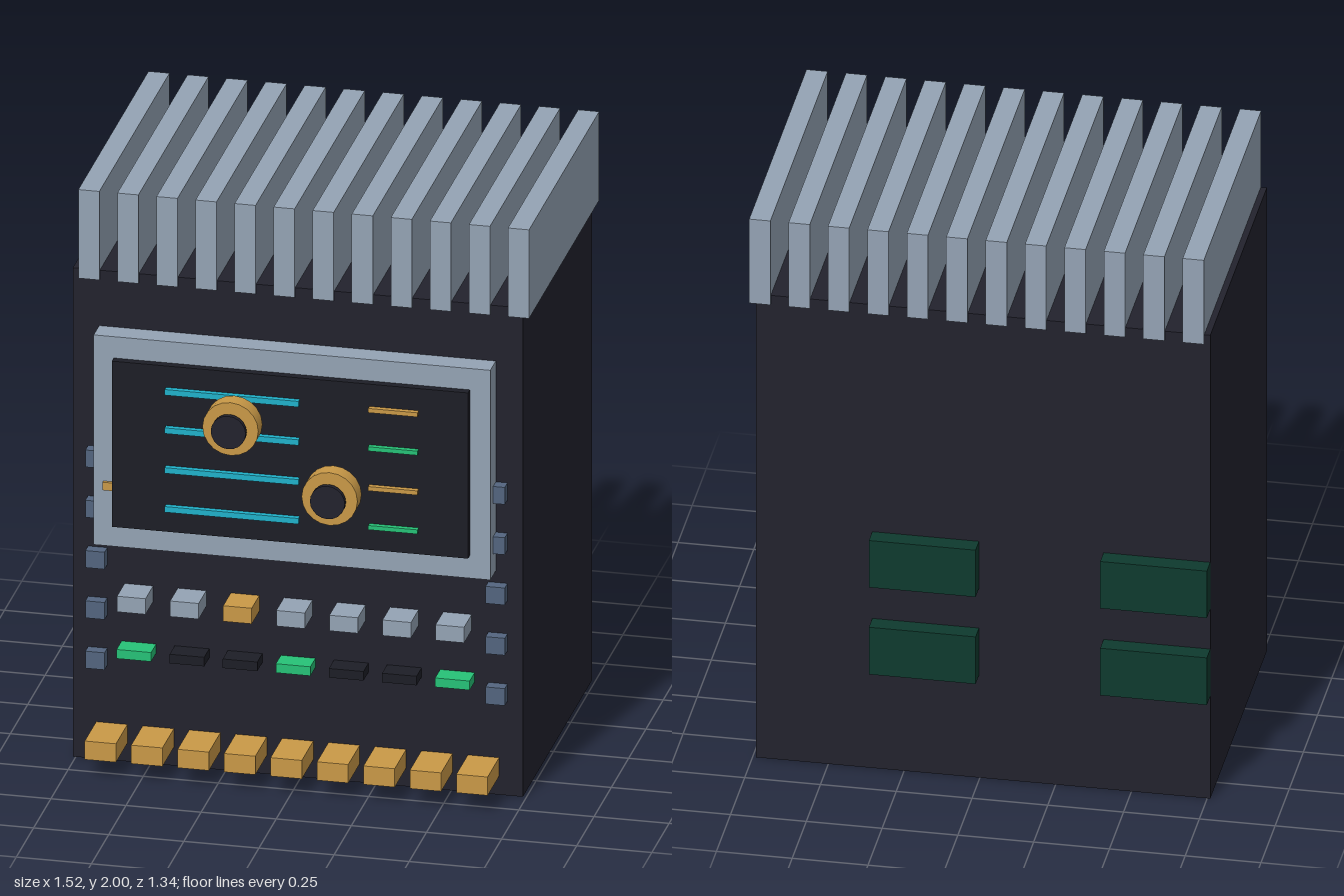
import * as THREE from 'three';

const mat = (name, color) => {
  const m = new THREE.MeshStandardMaterial({ color });
  m.name = name;
  return m;
};

export function createModel() {
  const model = new THREE.Group();
  model.name = 'controlUnit';

  const charcoal = mat('charcoal', 0x22222d);
  const black = mat('black', 0x1d1e26);
  const steel = mat('steel', 0x94a3b4);
  const slate = mat('slate', 0x53657f);
  const brass = mat('brass', 0xc99947);
  const cyan = mat('cyan', 0x20b2ca);
  const green = mat('green', 0x26c277);
  const darkGreen = mat('darkGreen', 0x0e3a2e);

  // Box given by its limits on each axis
  const box = (name, material, [x0, x1], [y0, y1], [z0, z1]) => {
    const mesh = new THREE.Mesh(new THREE.BoxGeometry(x1 - x0, y1 - y0, z1 - z0), material);
    mesh.position.set((x0 + x1) / 2, (y0 + y1) / 2, (z0 + z1) / 2);
    mesh.name = name;
    model.add(mesh);
  };
  const around = (c, size) => [c - size / 2, c + size / 2];

  // Housing
  box('housing', charcoal, [-0.76, 0.738], [0, 1.72], [-0.61, 0.39]);

  // Cooling fins
  for (let i = 0; i < 12; i++) {
    box('coolingFin', steel, around(-0.705 + i * 0.13, 0.07), [1.688, 2], [-0.617, 0.397]);
  }

  // Display: frame, screen, side light and traces
  box('displayFrame', steel, [-0.672, 0.648], [0.787, 1.525], [0.385, 0.47]);
  box('screen', black, [-0.605, 0.58], [0.867, 1.45], [0.46, 0.497]);
  box('frameLight', brass, [-0.64, -0.6], around(1, 0.028), [0.46, 0.481]);
  [1.365, 1.23, 1.09, 0.953].forEach((y, i) => {
    box('longTrace', cyan, [-0.425, 0.02], around(y, 0.02), [0.496, 0.516]);
    box('shortTrace', i % 2 ? green : brass, [0.252, 0.416], around(y, 0.015), [0.498, 0.516]);
  });

  // Dials standing off the screen
  const disc = (name, material, radius, depth, x, y, z) => {
    const mesh = new THREE.Mesh(
      new THREE.CylinderGeometry(radius, radius, depth, 20).rotateX(Math.PI / 2), material);
    mesh.position.set(x, y, z);
    mesh.name = name;
    model.add(mesh);
  };
  for (const [x, y] of [[-0.178, 1.31], [0.152, 1.095]]) {
    disc('dial', brass, 0.093, 0.06, x, y, 0.61);
    disc('dialCap', charcoal, 0.058, 0.017, x, y, 0.663);
  }

  // Side clips
  for (const x of [-0.677, 0.655]) {
    for (let i = 0; i < 5; i++) {
      box('sideClip', slate, around(x, 0.064), around(0.362 + i * 0.177, 0.06), [0.38, 0.43]);
    }
  }

  // Push buttons and indicator lamps
  for (let i = 0; i < 7; i++) {
    const x = -0.54 + i * 0.1767;
    box('pushButton', i === 2 ? brass : steel, around(x, 0.095), around(0.598, 0.055), [0.385, 0.5]);
    box('indicatorLamp', i % 3 ? black : green, around(x, 0.115), around(0.406, 0.032), [0.385, 0.463]);
  }

  // Terminals along the foot
  for (let i = 0; i < 9; i++) {
    box('terminal', brass, around(-0.63 + i * 0.1546, 0.104), [0.065, 0.13], [0.385, 0.556]);
  }

  // Rear connector blocks
  for (const x of [[-0.76, -0.408], [0.003, 0.355]]) {
    for (const y of [[0.38, 0.555], [0.703, 0.877]]) {
      box('rearConnector', darkGreen, x, y, [-0.67, -0.6]);
    }
  }

  return model;
}
